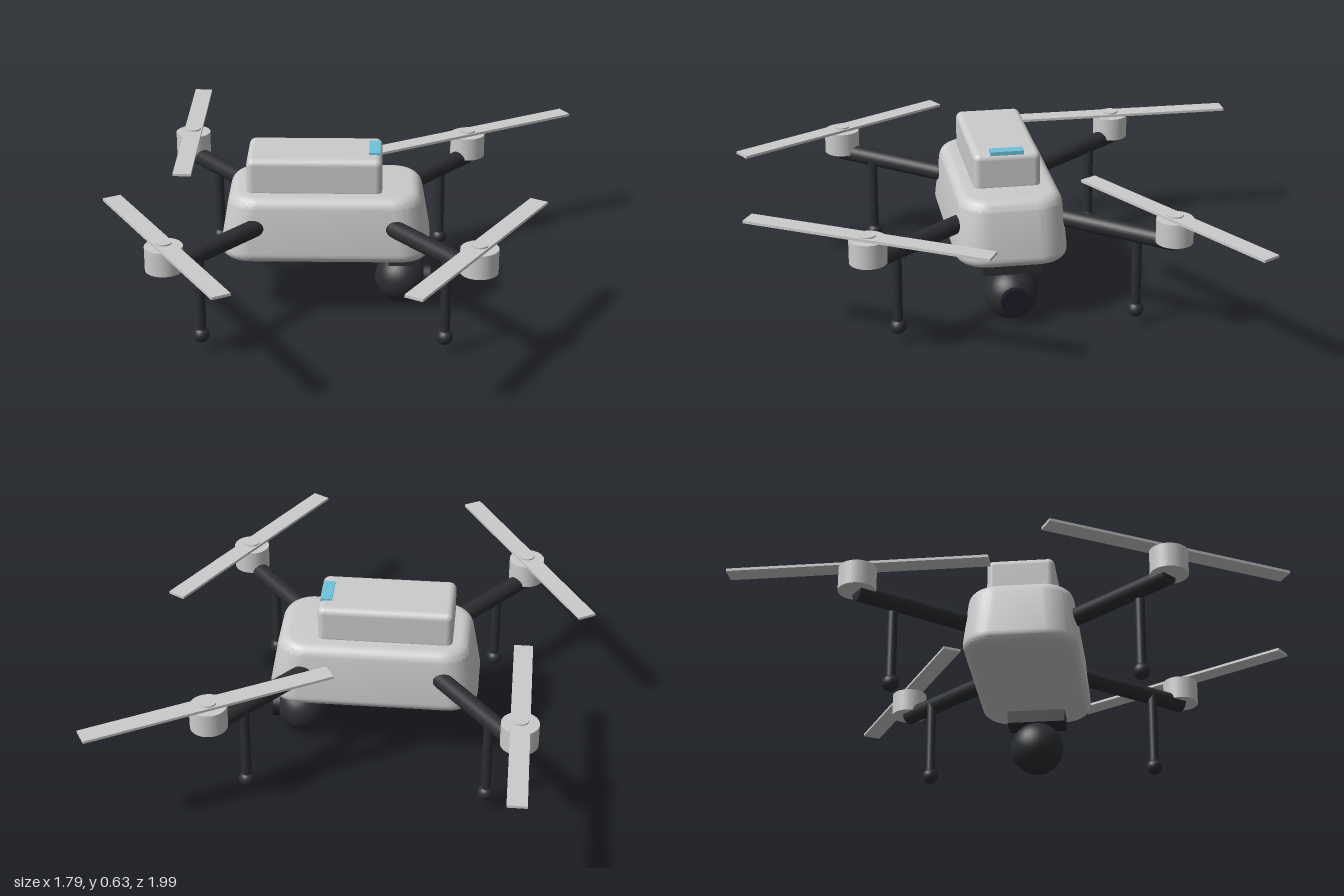
import * as THREE from 'three';
import { toCreasedNormals } from 'three/addons/utils/BufferGeometryUtils.js';
import { RoundedBoxGeometry } from 'three/addons/geometries/RoundedBoxGeometry.js';

const grey = new THREE.MeshStandardMaterial({ color: 0xcccccc });
const dark = new THREE.MeshStandardMaterial({ color: 0x2b2d30 });
const glass = new THREE.MeshStandardMaterial({ color: 0x1c1c28 });
const blue = new THREE.MeshStandardMaterial({ color: 0x6cc4dc });

function part(parent, name, geometry, material, x = 0, y = 0, z = 0) {
  const mesh = new THREE.Mesh(geometry, material);
  mesh.name = name;
  mesh.position.set(x, y, z);
  parent.add(mesh);
  return mesh;
}

// Cylinder between two points
function rod(parent, name, a, b, radius, material) {
  const dir = b.clone().sub(a);
  const mesh = part(parent, name, new THREE.CylinderGeometry(radius, radius, dir.length(), 24), material);
  mesh.position.copy(a).add(b).multiplyScalar(0.5);
  mesh.quaternion.setFromUnitVectors(new THREE.Vector3(0, 1, 0), dir.normalize());
  return mesh;
}

// Rounded slab with bevelled edges, narrowing towards the top
function bodyGeometry() {
  const bevel = 0.04, w = 0.39 - bevel, d = 0.21 - bevel, r = 0.08;
  const shape = new THREE.Shape();
  shape.absarc(w - r, d - r, r, 0, Math.PI / 2);
  shape.absarc(r - w, d - r, r, Math.PI / 2, Math.PI);
  shape.absarc(r - w, r - d, r, Math.PI, Math.PI * 1.5);
  shape.absarc(w - r, r - d, r, Math.PI * 1.5, Math.PI * 2);
  shape.closePath();
  const geo = new THREE.ExtrudeGeometry(shape, {
    depth: 0.25 - 2 * bevel, bevelSize: bevel, bevelThickness: bevel, bevelSegments: 6, curveSegments: 10,
  });
  geo.rotateX(-Math.PI / 2).translate(0, 0.24 + bevel, 0);
  const p = geo.attributes.position;
  for (let i = 0; i < p.count; i++) {
    const s = 1 - 0.45 * (p.getY(i) - 0.28);
    p.setXYZ(i, p.getX(i) * s, p.getY(i), p.getZ(i) * s);
  }
  return toCreasedNormals(geo, 0.6);
}

export function createModel() {
  const model = new THREE.Group();
  model.name = 'quadcopter';
  const drone = new THREE.Group();
  drone.name = 'drone';
  drone.position.set(-0.085, 0, 0.02);
  model.add(drone);

  // Body, battery and status light
  part(drone, 'body', bodyGeometry(), grey);
  part(drone, 'battery', new RoundedBoxGeometry(0.5, 0.15, 0.25, 4, 0.025), grey, -0.04, 0.545, 0);
  part(drone, 'statusLight', new THREE.BoxGeometry(0.042, 0.02, 0.125), blue, 0.182, 0.617, 0);

  // Camera under the nose, looking along +x
  const camera = new THREE.Group();
  camera.name = 'cameraGimbal';
  camera.position.set(0.285, 0.1, 0);
  drone.add(camera);
  part(camera, 'cameraMount', new THREE.BoxGeometry(0.1, 0.06, 0.22), dark, 0, 0.122, 0);
  part(camera, 'cameraBall', new THREE.SphereGeometry(0.1, 32, 24), dark);
  part(camera, 'lensBarrel', new THREE.CylinderGeometry(0.053, 0.053, 0.05, 32), glass, 0.085, 0.002, 0)
    .rotation.z = -Math.PI / 2;

  // Four arms, each with motor, propeller and leg; angle is the blade's turn in degrees
  const corners = [
    ['frontLeft', 1, 1, 60], ['frontRight', -1, 1, -60],
    ['backLeft', 1, -1, 30], ['backRight', -1, -1, 90],
  ];
  for (const [name, sx, sz, angle] of corners) {
    const rotor = new THREE.Group();
    rotor.name = name + 'Rotor';
    drone.add(rotor);
    const x = 0.55 * sx, z = 0.55 * sz, lx = 0.44 * sx, lz = 0.44 * sz;
    rod(rotor, 'arm', new THREE.Vector3(0.23 * sx, 0.378, 0.155 * sz), new THREE.Vector3(x, 0.378, z), 0.033, dark);
    part(rotor, 'motor', new THREE.CylinderGeometry(0.068, 0.068, 0.09, 32), grey, x, 0.425, z);
    part(rotor, 'hub', new THREE.CylinderGeometry(0.03, 0.03, 0.025, 24), grey, x, 0.473, z);
    part(rotor, 'blades', new THREE.BoxGeometry(0.94, 0.01, 0.07), grey, x, 0.475, z)
      .rotation.y = THREE.MathUtils.degToRad(angle);
    rod(rotor, 'leg', new THREE.Vector3(lx, 0.068, lz), new THREE.Vector3(lx, 0.375, lz), 0.018, dark);
    part(rotor, 'foot', new THREE.SphereGeometry(0.03, 20, 14), dark, lx, 0.068, lz);
  }
  return model;
}
